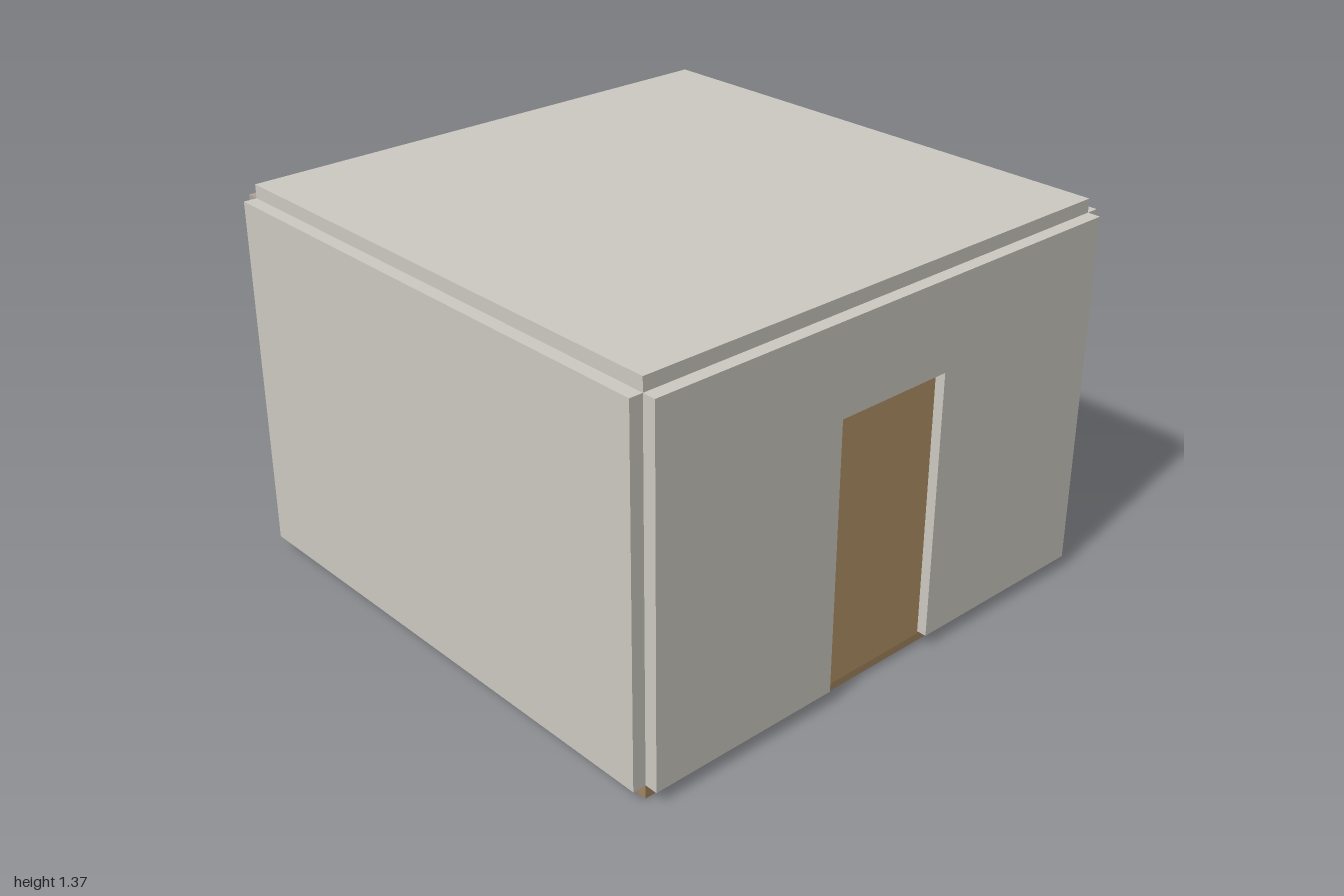
import * as THREE from 'three';

const HALF = 0.953;   // half width of the room inside the walls
const T = 0.047;      // panel thickness
const Y0 = 0.048;     // wall bottom
const Y1 = 1.318;     // wall top

export function createModel() {
  const group = new THREE.Group();
  const mat = (color) => new THREE.MeshStandardMaterial({ color, flatShading: true });
  const plaster = mat(0xcdcac2);
  const taupe = mat(0xaea399);
  const floorWood = mat(0xa3855f);
  const doorWood = mat(0xb39468);

  const add = (name, geometry, material, x, y, z) => {
    const mesh = new THREE.Mesh(geometry, material);
    mesh.name = name;
    mesh.position.set(x, y, z);
    group.add(mesh);
  };
  const box = (name, size, material, x, y, z) =>
    add(name, new THREE.BoxGeometry(...size), material, x, y, z);

  const wallH = Y1 - Y0;
  const midY = (Y0 + Y1) / 2;
  const offset = HALF + T / 2;

  // Floor and roof slabs
  box('floor', [2 * HALF, Y0, 2 * HALF], floorWood, 0, Y0 / 2, 0);
  box('roof', [2 * HALF, Y0, 2 * HALF], plaster, 0, Y1 + Y0 / 2, 0);

  // Side and back walls
  for (const [name, s] of [['leftWall', 1], ['rightWall', -1]])
    box(name, [T, wallH, 2 * HALF], plaster, s * offset, midY, 0);
  box('backWall', [2 * HALF, wallH, T], taupe, 0, midY, -offset);

  // Front wall with a doorway cut up from its bottom edge
  const doorL = -0.228, doorR = 0.225, doorTop = 1.003;
  const outline = new THREE.Shape([
    [-HALF, Y0], [doorL, Y0], [doorL, doorTop], [doorR, doorTop],
    [doorR, Y0], [HALF, Y0], [HALF, Y1], [-HALF, Y1],
  ].map(([x, y]) => new THREE.Vector2(x, y)));
  add('frontWall', new THREE.ExtrudeGeometry(outline, { depth: T, bevelEnabled: false }),
    plaster, 0, 0, HALF);

  // Door, recessed in the opening with a narrow gap at each side
  box('door', [0.433, doorTop - Y0, 0.02], doorWood, -0.001, (doorTop + Y0) / 2, 0.962);

  return group;
}
